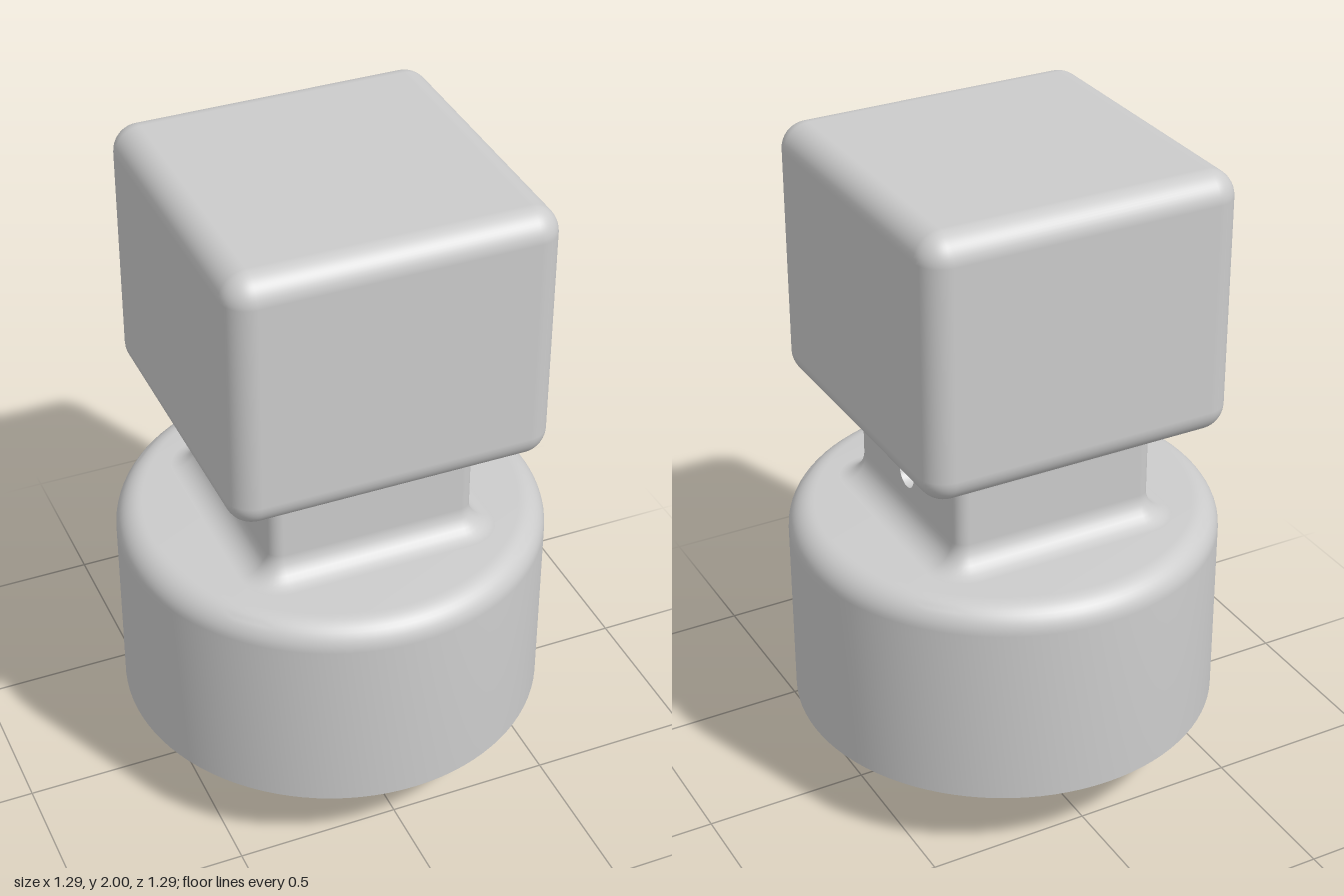
import * as THREE from 'three';
import { RoundedBoxGeometry } from 'three/addons/geometries/RoundedBoxGeometry.js';
import { toCreasedNormals } from 'three/addons/utils/BufferGeometryUtils.js';

const FILLET = 0.08, NECK = 0.32, CORNER = 0.04;
const NECK_LOW = 0.955, NECK_HIGH = 1.12;
const HOLE_Y = 1.035, HOLE_R = 0.045, HOLE_DEPTH = 0.16;

const material = new THREE.MeshStandardMaterial({ color: 0xcccccc });
const openMaterial = new THREE.MeshStandardMaterial({ color: 0xcccccc, side: THREE.DoubleSide });

function add(parent, name, geometry, mat = material) {
  const mesh = new THREE.Mesh(geometry, mat);
  mesh.name = name;
  parent.add(mesh);
  return mesh;
}

// Turned solid with sharp edges kept sharp
function turned(points) {
  const profile = points.map(([r, y]) => new THREE.Vector2(r, y));
  return toCreasedNormals(new THREE.LatheGeometry(profile, 96), 0.5);
}

// Rounded square swept up the neck, flaring in a concave fillet at each end
function neckGeometry() {
  const steps = 8, arc = 8;
  const levels = [];
  for (let i = 0; i <= steps; i++) {
    const a = (1 - i / steps) * Math.PI / 2;
    levels.push({ d: FILLET * (1 - Math.cos(a)), y: NECK_LOW - FILLET * Math.sin(a), nr: Math.cos(a), ny: Math.sin(a) });
  }
  for (let i = steps; i >= 0; i--) {
    const l = levels[i];
    levels.push({ d: l.d, y: NECK_LOW + NECK_HIGH - l.y, nr: l.nr, ny: -l.ny });
  }
  const position = [], normal = [], index = [];
  const count = 4 * (arc + 1), c = NECK - CORNER;
  for (const { d, y, nr, ny } of levels) {
    for (let q = 0; q < 4; q++) {
      const mid = (q + 0.5) * Math.PI / 2;
      const cx = Math.sign(Math.cos(mid)) * c, cz = Math.sign(Math.sin(mid)) * c;
      for (let k = 0; k <= arc; k++) {
        const t = (q + k / arc) * Math.PI / 2;
        position.push(cx + (CORNER + d) * Math.cos(t), y, cz + (CORNER + d) * Math.sin(t));
        normal.push(Math.cos(t) * nr, ny, Math.sin(t) * nr);
      }
    }
  }
  for (let j = 0; j < levels.length - 1; j++) {
    for (let i = 0; i < count; i++) {
      // The two drilled faces are left open for separate panels
      const sideFace = i === count - 1 || i === 2 * (arc + 1) - 1;
      if (j === steps && sideFace) continue;
      const a = j * count + i, b = j * count + (i + 1) % count;
      index.push(a, a + count, b, b, a + count, b + count);
    }
  }
  const g = new THREE.BufferGeometry();
  g.setAttribute('position', new THREE.Float32BufferAttribute(position, 3));
  g.setAttribute('normal', new THREE.Float32BufferAttribute(normal, 3));
  g.setIndex(index);
  return g;
}

// Flat neck face with a round hole
function panelGeometry() {
  const w = NECK - CORNER;
  const shape = new THREE.Shape([
    new THREE.Vector2(-w, NECK_LOW), new THREE.Vector2(w, NECK_LOW),
    new THREE.Vector2(w, NECK_HIGH), new THREE.Vector2(-w, NECK_HIGH),
  ]);
  shape.holes.push(new THREE.Path().absarc(0, HOLE_Y, HOLE_R, 0, Math.PI * 2, true));
  return new THREE.ShapeGeometry(shape, 24);
}

export function createModel() {
  const model = new THREE.Group();
  model.name = 'knob';

  // Round base with a bore underneath and a rounded upper rim
  const base = [[0, 0.55], [0.19, 0.55], [0.19, 0.23], [0.645, 0.23]];
  for (let i = 0; i <= 10; i++) {
    const a = i / 10 * Math.PI / 2;
    base.push([0.565 + FILLET * Math.cos(a), 0.795 + FILLET * Math.sin(a)]);
  }
  base.push([0, 0.875]);
  add(model, 'base', turned(base));

  // Shaft in the bore, with a shallow recess in its end
  add(model, 'shaft', turned([[0, 0.04], [0.14, 0.04], [0.14, 0], [0.16, 0], [0.16, 0.55]]));

  // Square neck
  const neck = new THREE.Group();
  neck.name = 'neck';
  model.add(neck);
  add(neck, 'neckBody', neckGeometry());

  // Blind cross holes on the left and right
  for (const side of [1, -1]) {
    const drilled = new THREE.Group();
    drilled.name = side > 0 ? 'leftHole' : 'rightHole';
    drilled.rotation.y = side * Math.PI / 2;
    neck.add(drilled);
    add(drilled, 'holeFace', panelGeometry()).position.z = NECK;
    const wall = add(drilled, 'holeWall', new THREE.CylinderGeometry(HOLE_R, HOLE_R, HOLE_DEPTH, 48, 1, true), openMaterial);
    wall.rotation.x = Math.PI / 2;
    wall.position.set(0, HOLE_Y, NECK - HOLE_DEPTH / 2);
    add(drilled, 'holeEnd', new THREE.CircleGeometry(HOLE_R, 48)).position.set(0, HOLE_Y, NECK - HOLE_DEPTH);
  }

  // Rounded cube head
  add(model, 'head', new RoundedBoxGeometry(0.97, 0.8, 0.97, 6, FILLET)).position.y = 1.6;

  return model;
}
